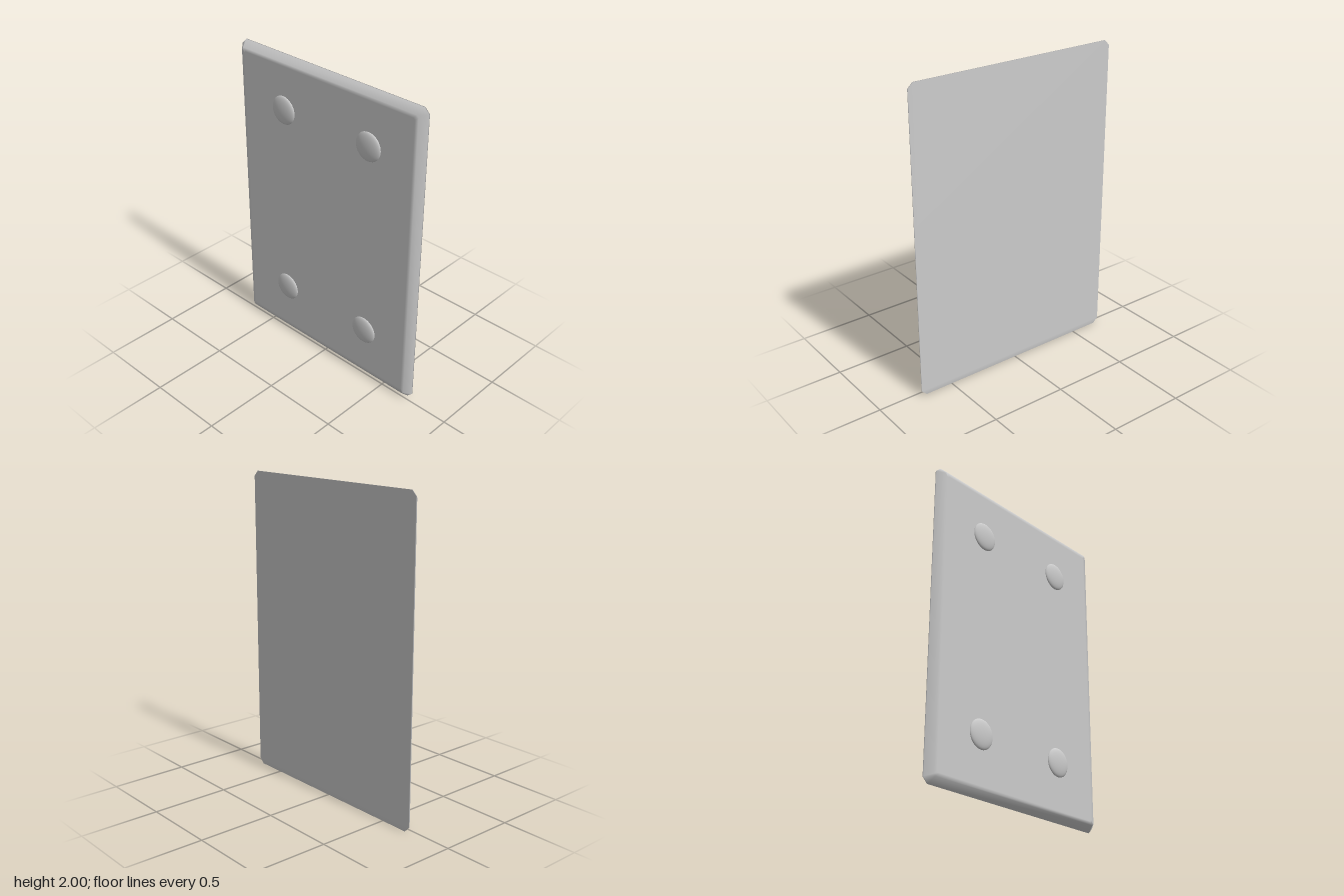
import * as THREE from 'three';

const material = new THREE.MeshStandardMaterial({ color: 0xcccccc });

// Rectangle with cut corners, counter-clockwise seen from the front
function ring(inset, cut, z) {
  const x = 0.72 - inset, y = 1 - inset;
  return [
    [x, -y + cut], [x, y - cut], [x - cut, y], [-x + cut, y],
    [-x, y - cut], [-x, -y + cut], [-x + cut, -y], [x - cut, -y],
  ].flatMap(([px, py]) => [px, py + 1, z]);
}

// Thin plate: flat back, short rim, sloping bevel and flat front
function plateGeometry() {
  const rings = [
    ring(0, 0.033, -0.035), ring(0, 0.033, -0.029),
    ring(0.037, 0.012, 0.012), ring(0.06, 0.01, 0.0125),
  ];
  const n = 8, last = (rings.length - 1) * n, index = [];
  for (let r = 0; r < rings.length - 1; r++) {
    for (let i = 0; i < n; i++) {
      const a = r * n + i, b = r * n + (i + 1) % n;
      index.push(a, b, b + n, a, b + n, a + n);
    }
  }
  for (let i = 1; i < n - 1; i++) {
    index.push(0, i + 1, i);
    index.push(last, last + i, last + i + 1);
  }
  const geometry = new THREE.BufferGeometry();
  geometry.setAttribute('position', new THREE.Float32BufferAttribute(rings.flat(), 3));
  geometry.setIndex(index);
  geometry.computeVertexNormals();
  return geometry;
}

export function createModel() {
  const group = new THREE.Group();
  group.name = 'rivetedPlate';

  const plate = new THREE.Mesh(plateGeometry(), material);
  plate.name = 'plate';
  group.add(plate);

  // Four shallow domed rivets on the front
  const dome = new THREE.SphereGeometry(0.092, 32, 10, 0, Math.PI * 2, 0, Math.PI / 2);
  dome.rotateX(Math.PI / 2);
  dome.scale(1, 1, 0.25);
  for (const x of [-0.332, 0.343]) {
    for (const y of [0.362, 1.658]) {
      const rivet = new THREE.Mesh(dome, material);
      rivet.name = `${y > 1 ? 'upper' : 'lower'}${x > 0 ? 'Left' : 'Right'}Rivet`;
      rivet.position.set(x, y, 0.012);
      group.add(rivet);
    }
  }
  return group;
}
